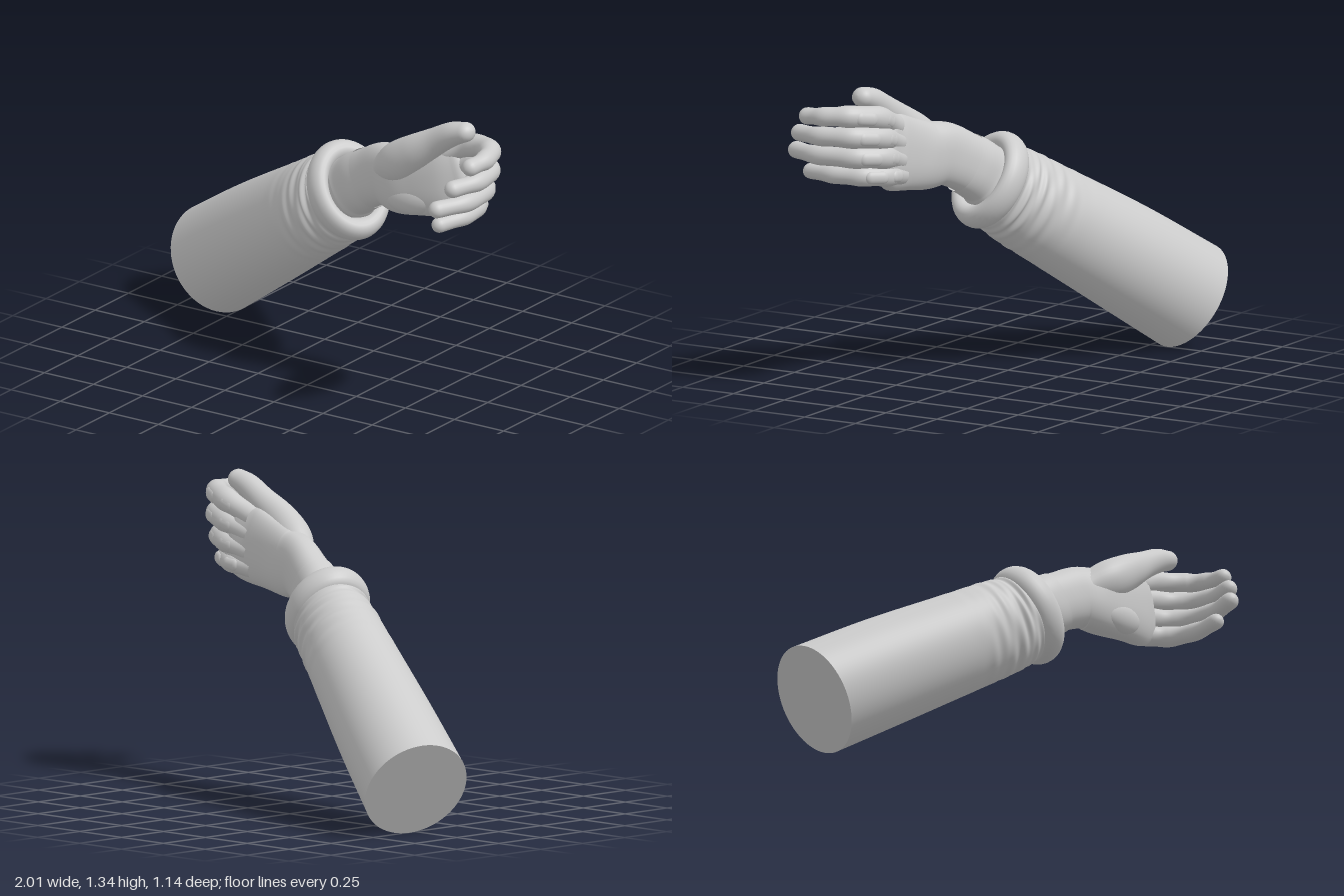
import * as THREE from 'three';

const grey = new THREE.MeshStandardMaterial({ color: 0xcccccc });
const greyDouble = new THREE.MeshStandardMaterial({ color: 0xcccccc, side: THREE.DoubleSide });
const UP = new THREE.Vector3(0, 1, 0);
const vec = (p) => new THREE.Vector3(p[0], p[1], p[2]);

// Cross-section axes for a direction: u is upward, w is sideways, t is along
function frame(t) {
  const u = UP.clone().addScaledVector(t, -UP.dot(t)).normalize();
  return { u, w: new THREE.Vector3().crossVectors(t, u), t };
}

// Sweeps an oval through points [x, y, z, upRadius, sideRadius]
function sweep(points, { rows = 32, sides = 28, power = 1, round = false, cap = false, shape = () => 1 } = {}) {
  const path = new THREE.CatmullRomCurve3(points.map(vec));
  const radii = new THREE.CatmullRomCurve3(points.map((p) => new THREE.Vector3(p[3], p[4], 0)), false, 'catmullrom');
  const pos = [], index = [];
  const soft = (v) => Math.sign(v) * Math.abs(v) ** power;
  let count = 0;
  const ring = (c, f, ru, rw, t) => {
    for (let j = 0; j < sides; j++) {
      const a = (j / sides) * Math.PI * 2, k = shape(t, a);
      const p = c.clone().addScaledVector(f.u, soft(Math.cos(a)) * ru * k).addScaledVector(f.w, soft(Math.sin(a)) * rw * k);
      pos.push(p.x, p.y, p.z);
    }
    count++;
  };
  for (let i = 0; i <= rows; i++) {
    const t = i / rows, r = radii.getPoint(t);
    ring(path.getPoint(t), frame(path.getTangent(t)), r.x, r.y, t);
  }
  if (round) { // domed far end
    const c = path.getPoint(1), f = frame(path.getTangent(1)), r = radii.getPoint(1);
    for (let k = 1; k <= 7; k++) {
      const a = (k / 7) * Math.PI * 0.4999;
      ring(c.clone().addScaledVector(f.t, Math.sin(a) * Math.min(r.x, r.y)), f, r.x * Math.cos(a), r.y * Math.cos(a), 1);
    }
  }
  for (let i = 0; i < count - 1; i++) for (let j = 0; j < sides; j++) {
    const a = i * sides + j, b = i * sides + (j + 1) % sides;
    index.push(a, b, a + sides, b, b + sides, a + sides);
  }
  if (cap) { // flat near end with its own sharp rim
    const start = pos.length / 3;
    pos.push(...pos.slice(0, sides * 3), ...points[0].slice(0, 3));
    for (let j = 0; j < sides; j++) index.push(start + sides, start + (j + 1) % sides, start + j);
  }
  const g = new THREE.BufferGeometry();
  g.setAttribute('position', new THREE.Float32BufferAttribute(pos, 3));
  g.setIndex(index);
  g.computeVertexNormals();
  return g;
}

function add(parent, name, geometry, material = grey) {
  const m = new THREE.Mesh(geometry, material);
  m.name = name;
  parent.add(m);
  return m;
}

// Turns a mesh so that its x, y and z follow the given axes
function orient(mesh, x, y, z, at) {
  mesh.quaternion.setFromRotationMatrix(new THREE.Matrix4().makeBasis(x, y, z));
  mesh.position.copy(at);
}

export function createModel() {
  const arm = new THREE.Group();
  arm.name = 'arm';

  // Sleeve: smooth at the elbow, gathered into folds toward the cuff
  const folds = (t, a) => {
    const g = THREE.MathUtils.smoothstep(t, 0.4, 0.85);
    const side = 0.6 + 0.4 * Math.sin(a * 2 + 1 + t * 5);
    return 1 + g * side * (0.03 * Math.sin(t * 62 + 2.2 * Math.sin(a + 0.6)) + 0.02 * Math.sin(t * 95 - 3 * Math.cos(a)))
      + 0.006 * Math.sin(3 * a + t * 9) * t;
  };
  add(arm, 'sleeve', sweep([
    [-0.87, 0.205, -0.365, 0.24, 0.225],
    [-0.55, 0.42, -0.23, 0.232, 0.21],
    [-0.22, 0.635, -0.085, 0.215, 0.187],
    [-0.05, 0.745, -0.01, 0.205, 0.172],
    [0.06, 0.82, 0.035, 0.185, 0.155],
  ], { rows: 130, sides: 64, cap: true, shape: folds }), greyDouble);

  // Padded cuff ring
  const f = frame(new THREE.Vector3(0.785, 0.52, 0.33).normalize());
  const ringGeo = new THREE.TorusGeometry(0.172, 0.047, 20, 56);
  ringGeo.scale(1, 0.84, 1.3);
  orient(add(arm, 'cuff', ringGeo), f.u, f.w, f.t, new THREE.Vector3(0.07, 0.83, 0.045));

  // Wrist and palm
  const hand = new THREE.Group();
  hand.name = 'hand';
  arm.add(hand);
  add(hand, 'wristAndPalm', sweep([
    [0.0, 0.78, 0.01, 0.12, 0.09],
    [0.14, 0.885, 0.065, 0.125, 0.092],
    [0.24, 0.945, 0.1, 0.127, 0.084],
    [0.32, 0.98, 0.13, 0.135, 0.08],
    [0.41, 0.985, 0.165, 0.146, 0.085],
    [0.52, 1.01, 0.18, 0.155, 0.075],
    [0.64, 1.04, 0.18, 0.165, 0.064],
    [0.72, 1.065, 0.165, 0.15, 0.05],
  ], { rows: 60, sides: 48, power: 0.85, round: true }));

  // Glove collar with a flared lip
  add(hand, 'gloveCollar', sweep([
    [0.095, 0.85, 0.048, 0.138, 0.104],
    [0.115, 0.866, 0.056, 0.132, 0.099],
    [0.16, 0.898, 0.073, 0.132, 0.097],
    [0.205, 0.925, 0.088, 0.131, 0.091],
  ], { rows: 16, sides: 48, power: 0.85 }), greyDouble);

  // Fleshy heel on the little finger side
  const heel = add(hand, 'palmHeel', new THREE.SphereGeometry(1, 28, 20));
  heel.scale.set(0.14, 0.075, 0.055);
  heel.position.set(0.5, 0.935, 0.205);
  heel.rotation.z = 0.12;

  // Thumb with its broad base
  add(hand, 'thumb', sweep([
    [0.34, 1.02, 0.16, 0.07, 0.06],
    [0.43, 1.08, 0.205, 0.087, 0.075],
    [0.53, 1.15, 0.228, 0.077, 0.067],
    [0.64, 1.222, 0.228, 0.06, 0.056],
    [0.73, 1.275, 0.233, 0.052, 0.052],
    [0.795, 1.298, 0.237, 0.043, 0.047],
  ], { rows: 44, round: true }));

  // Fingers curl forward: root, knuckle, middle joint, last joint, tip
  const fingers = {
    index: [[0.64, 1.155, 0.175], [0.79, 1.215, 0.165], [0.92, 1.237, 0.235], [0.957, 1.233, 0.33], [0.945, 1.225, 0.42]],
    middle: [[0.64, 1.085, 0.165], [0.785, 1.13, 0.155], [0.91, 1.147, 0.225], [0.94, 1.143, 0.36], [0.9, 1.138, 0.485]],
    ring: [[0.64, 1.01, 0.16], [0.775, 1.045, 0.15], [0.885, 1.056, 0.225], [0.905, 1.052, 0.39], [0.85, 1.05, 0.53]],
    little: [[0.62, 0.94, 0.16], [0.745, 0.96, 0.15], [0.84, 0.968, 0.215], [0.862, 0.965, 0.34], [0.825, 0.96, 0.475]],
  };
  const thickness = [0.046, 0.049, 0.046, 0.04, 0.035];
  const joints = (t) => 1 + 0.045 * Math.cos(t * Math.PI * 8);
  for (const [name, joint] of Object.entries(fingers)) {
    const size = name === 'little' ? 0.92 : 1;
    const pts = joint.map((p, i) => [...p, thickness[i] * size, thickness[i] * size]);
    add(hand, name + 'Finger', sweep(pts, { rows: 48, sides: 24, round: true, shape: joints }));

    // Raised pads on the back of the knuckle and of the first finger bone
    for (const [i, s, long, out] of [[0, 0.8, 0.035, 0.036], [1, 0.55, 0.055, 0.042]]) {
      const a = vec(joint[i]), b = vec(joint[i + 1]);
      const axis = frame(b.clone().sub(a).normalize());
      const n = new THREE.Vector3().crossVectors(axis.u, axis.t);
      const pad = new THREE.CapsuleGeometry(0.029 * size, long, 8, 20);
      pad.scale(1, 1, 0.65);
      orient(add(hand, name + (i ? 'FingerPad' : 'KnucklePad'), pad), axis.u, axis.t, n,
        a.lerp(b, s).addScaledVector(n, out));
    }
  }
  return arm;
}
